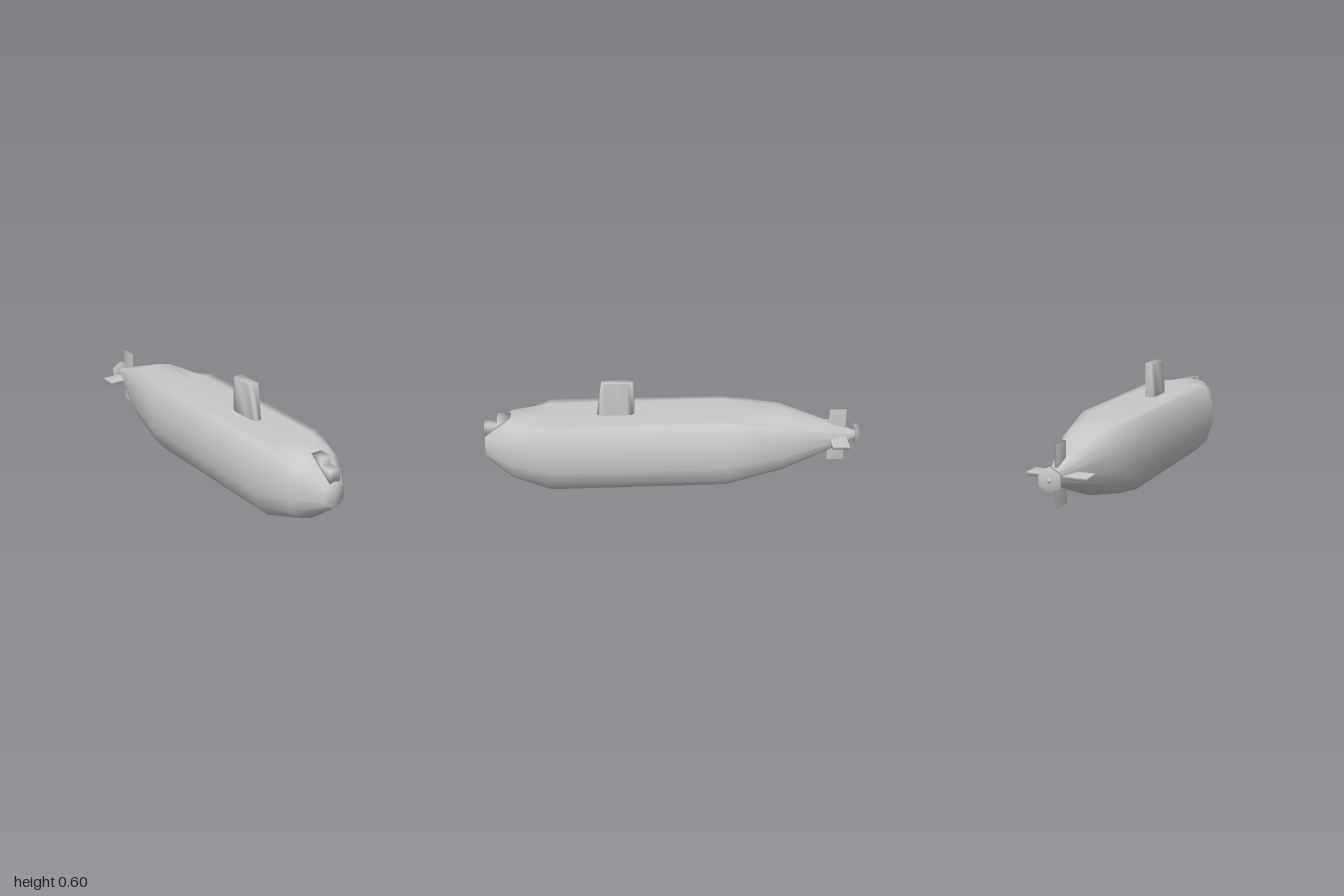
import * as THREE from 'three';
import { mergeVertices } from 'three/addons/utils/BufferGeometryUtils.js';

// Closed smooth skin through rings ordered front to back, each running counter-clockwise seen from +z
function loft(rings) {
  const n = rings[0].length, pos = rings.flat(2), idx = [];
  for (let s = 0; s < rings.length - 1; s++) {
    for (let i = 0; i < n; i++) {
      const j = (i + 1) % n, a = s * n + i, b = s * n + j;
      idx.push(a, a + n, b, b, a + n, b + n);
    }
  }
  const last = (rings.length - 1) * n;
  for (let i = 1; i < n - 1; i++) {
    idx.push(0, i, i + 1, last, last + i + 1, last + i);
  }
  const geo = new THREE.BufferGeometry();
  geo.setAttribute('position', new THREE.Float32BufferAttribute(pos, 3));
  geo.setIndex(idx);
  geo.computeVertexNormals();
  return geo;
}

// Welds corners so that shading runs smoothly over every edge
function smooth(geo) {
  geo.deleteAttribute('normal');
  geo.deleteAttribute('uv');
  const welded = mergeVertices(geo, 1e-4);
  welded.computeVertexNormals();
  return welded;
}

export function createModel() {
  const model = new THREE.Group();
  model.name = 'submarine';
  const grey = new THREE.MeshStandardMaterial({ color: 0xc8c8c8 });
  grey.name = 'hull grey';
  const add = (name, geo) => {
    const mesh = new THREE.Mesh(geo, grey);
    mesh.name = name;
    model.add(mesh);
    return mesh;
  };

  // Hull: sixteen-sided section, scaled along the length, cut flat at the deck
  const axisY = 0.247, deckY = 0.416;
  const quarter = [[0.03, 0.247], [0.124, 0.216], [0.185, 0.154], [0.215, 0.062]];
  const right = [...quarter.map(([x, y]) => [x, -y]), ...[...quarter].reverse()];
  const section = [...right, ...[...right].reverse().map(([x, y]) => [-x, y])];
  const stations = [[1, 0.28], [0.86, 0.72], [0.66, 1], [-0.27, 1], [-0.57, 0.72],
    [-0.95, 0.13], [-0.985, 0.07], [-1, 0.02]];
  add('hull', loft(stations.map(([z, s]) => section.map(([x, y]) => {
    const deckEdge = s === 1 && y > 0.15 && Math.abs(x) > 0.18;
    return deckEdge ? [Math.sign(x) * 0.17, deckY, z] : [x * s, Math.min(axisY + y * s, deckY), z];
  }))));

  // Stepped sonar housing on the nose
  const step = new THREE.Shape([[1, 0.31], [1, 0.375], [0.93, 0.375], [0.93, 0.416], [0.86, 0.416]]
    .map(([z, y]) => new THREE.Vector2(-z, y)));
  const sonar = new THREE.ExtrudeGeometry(step, { depth: 0.06, bevelEnabled: false });
  sonar.translate(0, 0, -0.03).rotateY(Math.PI / 2);
  add('sonarHousing', smooth(sonar));

  // Sail: rounded plan, leading edge raked back towards the top
  const side = [[0.012, 0.21], [0.025, 0.222], [0.03, 0.25], [0.03, 0.355], [0.025, 0.39], [0.014, 0.41]];
  const plan = [...side, ...[...side].reverse().map(([x, z]) => [-x, z])];
  const sail = new THREE.ExtrudeGeometry(
    new THREE.Shape(plan.map(([x, z]) => new THREE.Vector2(x, -z))), { depth: 0.2, bevelEnabled: false });
  sail.rotateX(-Math.PI / 2).translate(0, 0.4, 0);
  const p = sail.attributes.position;
  for (let i = 0; i < p.count; i++) {
    const t = (p.getY(i) - 0.4) / 0.2;
    p.setZ(i, 0.21 + (p.getZ(i) - 0.21) * (1 - 0.15 * t));
  }
  add('sail', smooth(sail));

  // Cruciform tail fins
  add('rudders', smooth(new THREE.BoxGeometry(0.016, 0.305, 0.09))).position.set(0, 0.25, -0.875);
  add('sternPlanes', smooth(new THREE.BoxGeometry(0.305, 0.016, 0.09))).position.set(0, 0.25, -0.875);

  // Propeller disc
  const prop = new THREE.CylinderGeometry(0.062, 0.062, 0.018, 6);
  prop.rotateX(Math.PI / 2);
  add('propeller', smooth(prop)).position.set(0, 0.25, -0.983);

  return model;
}
